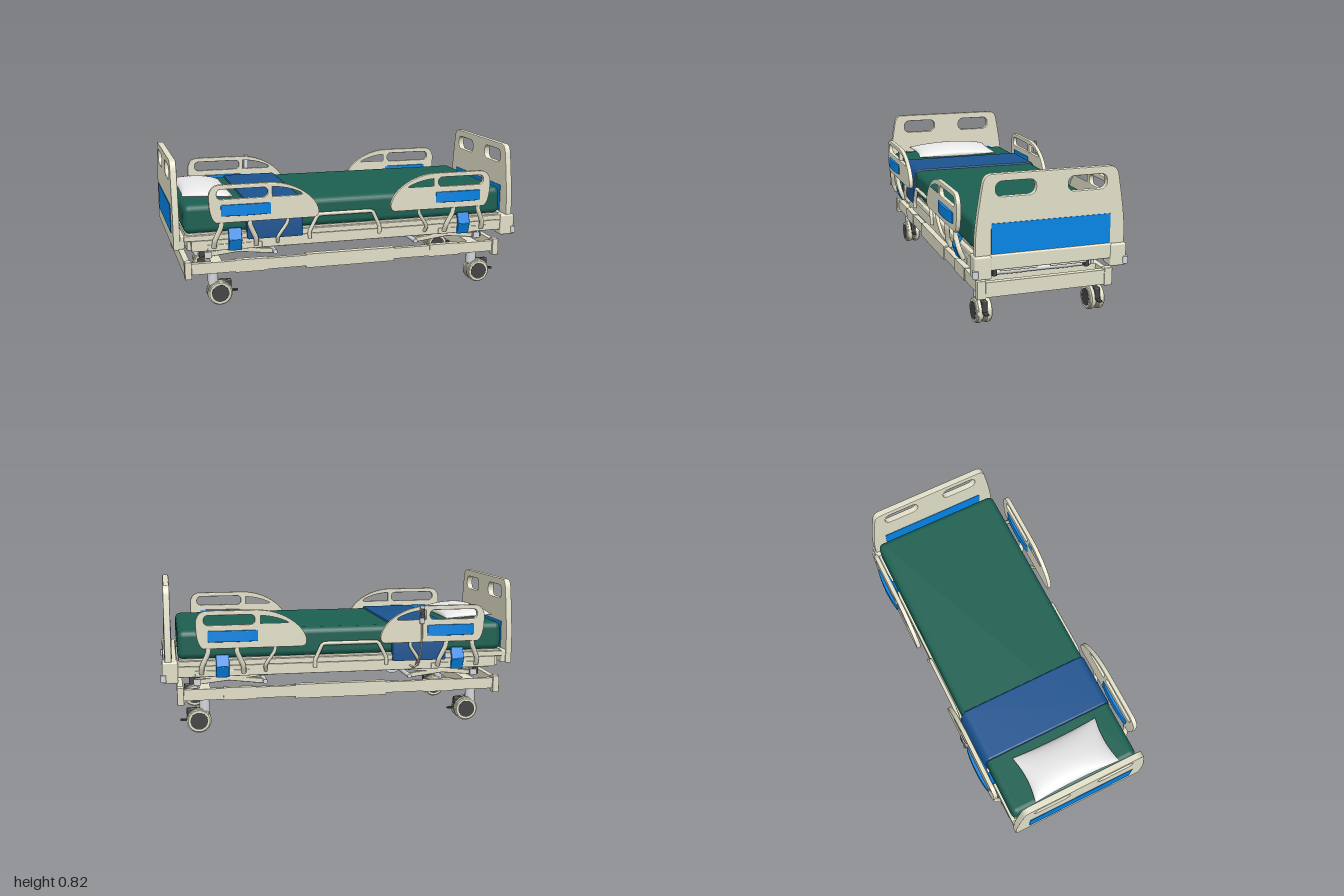
import * as THREE from 'three';
import { toCreasedNormals, mergeVertices } from 'three/addons/utils/BufferGeometryUtils.js';
import { RoundedBoxGeometry } from 'three/addons/geometries/RoundedBoxGeometry.js';

const mat = (name, color) => {
  const m = new THREE.MeshStandardMaterial({ color });
  m.name = name;
  return m;
};
const V = (x, y, z) => new THREE.Vector3(x, y, z);

export function createModel() {
  const root = new THREE.Group();
  root.name = 'adjustableBed';
  const cream = mat('cream', 0xe2e0c9), blue = mat('brightBlue', 0x0488ec), navy = mat('navy', 0x1b5390);
  const green = mat('green', 0x1c6052), white = mat('white', 0xe8e8e8), metal = mat('lightMetal', 0xd4d7dc);
  const dark = mat('darkGrey', 0x444444);

  // helpers
  const add = (name, geo, m, parent = root) => {
    const mesh = new THREE.Mesh(geo, m);
    mesh.name = name;
    parent.add(mesh);
    return mesh;
  };
  // box given by its bounds
  const box = (name, m, x0, x1, y0, y1, z0, z1, r = 0, parent = root) => {
    const s = [x1 - x0, y1 - y0, z1 - z0];
    const g = r ? new RoundedBoxGeometry(...s, 3, r) : new THREE.BoxGeometry(...s);
    g.translate((x0 + x1) / 2, (y0 + y1) / 2, (z0 + z1) / 2);
    return add(name, g, m, parent);
  };
  const rod = (name, m, a, b, r, parent = root) => {
    const d = b.clone().sub(a);
    const mesh = add(name, new THREE.CylinderGeometry(r, r, d.length(), 24), m, parent);
    mesh.position.copy(a).add(b).multiplyScalar(0.5);
    mesh.quaternion.setFromUnitVectors(V(0, 1, 0), d.normalize());
    return mesh;
  };
  const tube = (name, m, pts, r, tension = 0.15, parent = root) =>
    add(name, new THREE.TubeGeometry(new THREE.CatmullRomCurve3(pts, false, 'catmullrom', tension), 40, r, 8), m, parent);
  const extrude = (shape, depth, bevel = 0) => toCreasedNormals(new THREE.ExtrudeGeometry(shape, {
    depth: depth - 2 * bevel, bevelEnabled: bevel > 0, bevelSize: bevel, bevelThickness: bevel,
    bevelOffset: -bevel, bevelSegments: 2, curveSegments: 12 }).translate(0, 0, bevel), 0.35);
  // rounded rectangle path
  const roundRect = (P, x0, x1, y0, y1, r) => {
    const p = new P();
    p.absarc(x1 - r, y1 - r, r, 0, Math.PI / 2);
    p.absarc(x0 + r, y1 - r, r, Math.PI / 2, Math.PI);
    p.absarc(x0 + r, y0 + r, r, Math.PI, Math.PI * 1.5);
    p.absarc(x1 - r, y0 + r, r, Math.PI * 1.5, Math.PI * 2);
    p.closePath();
    return p;
  };

  // head and foot boards with hand holes and a blue inset
  const endBoard = (name, x, low) => {
    const g = new THREE.Group();
    g.name = name;
    root.add(g);
    const s = new THREE.Shape();
    s.moveTo(-0.4, low);
    s.lineTo(0.4, low);
    s.lineTo(0.4, 0.48);
    s.quadraticCurveTo(0.396, 0.58, 0.36, 0.775);
    s.quadraticCurveTo(0.35, 0.82, 0.31, 0.82);
    s.lineTo(-0.31, 0.82);
    s.quadraticCurveTo(-0.35, 0.82, -0.36, 0.775);
    s.quadraticCurveTo(-0.396, 0.58, -0.4, 0.48);
    s.closePath();
    for (const k of [-1, 1]) s.holes.push(roundRect(THREE.Path, k * 0.19 - 0.105, k * 0.19 + 0.105, 0.705, 0.782, 0.034));
    add('board', extrude(s, 0.036, 0.005).rotateY(Math.PI / 2).translate(x, 0, 0), cream, g);
    box('inset', blue, x - 0.003, x + 0.039, 0.42, 0.575, -0.318, 0.318, 0, g);
    return g;
  };
  const head = endBoard('headboard', -0.995, 0.345);
  box('headSill', cream, -0.99, -0.935, 0.345, 0.42, -0.395, 0.395, 0.008, head);
  const foot = endBoard('footboard', 0.938, 0.345);
  box('footSill', cream, 0.91, 0.985, 0.338, 0.418, -0.33, 0.33, 0.008, foot);
  for (const k of [-1, 1]) {
    const z = k * 0.363;
    box('cornerBlock', cream, 0.905, 0.99, 0.295, 0.415, z - 0.045, z + 0.045, 0.01, foot);
    rod('bumperRoller', metal, V(0.984, 0.307, k * 0.403), V(0.984, 0.345, k * 0.403), 0.016, foot);
  }

  // mattress, blanket and pillow
  box('mattress', green, -0.935, 0.905, 0.42, 0.58, -0.386, 0.386, 0.035);
  const u = new THREE.Shape();
  u.moveTo(-0.405, 0.378);
  u.lineTo(-0.405, 0.42);
  u.bezierCurveTo(-0.4, 0.545, -0.395, 0.592, -0.35, 0.592);
  u.lineTo(0.35, 0.592);
  u.bezierCurveTo(0.395, 0.592, 0.4, 0.545, 0.405, 0.42);
  u.lineTo(0.405, 0.378);
  u.lineTo(0.375, 0.378);
  u.lineTo(0.36, 0.55);
  u.lineTo(-0.36, 0.55);
  u.lineTo(-0.375, 0.378);
  u.closePath();
  add('blanket', extrude(u, 0.315, 0.011).rotateY(Math.PI / 2).translate(-0.6, 0, 0), navy);

  // pillow: a sphere spread to a pinched square with a puffed height
  const ball = new THREE.SphereGeometry(1, 48, 32);
  ball.deleteAttribute('uv');
  ball.deleteAttribute('normal');
  const pg = mergeVertices(ball, 1e-4);
  const pp = pg.attributes.position;
  const pinch = (a) => 1 - 0.07 * (1 - a * a);
  for (let i = 0; i < pp.count; i++) {
    const x = pp.getX(i), z = pp.getZ(i), side = Math.sign(Math.round(pp.getY(i) * 1e4));
    const k = Math.hypot(x, z) / Math.max(Math.abs(x), Math.abs(z), 1e-6);
    const a = x * k, b = z * k;
    const h = Math.pow(Math.max(0, (1 - a * a) * (1 - b * b)), 0.45);
    pp.setXYZ(i, a * 0.14 * pinch(b), side * h * (side > 0 ? 0.052 : 0.025), b * 0.262 * pinch(a));
  }
  pg.computeVertexNormals();
  const pillow = add('pillow', pg, white);
  pillow.position.set(-0.787, 0.598, 0.01);
  pillow.rotation.z = -0.06;

  // mattress deck and its frame
  box('deck', cream, -0.93, 0.9, 0.392, 0.425, -0.375, 0.375);
  for (const k of [-1, 1]) {
    const z = k * 0.377;
    box('deckRail', cream, -0.9, 0.91, 0.325, 0.385, z - 0.017, z + 0.017, 0.004);
    box('deckLip', cream, -0.94, 0.91, 0.385, 0.415, z - 0.02, z + 0.02, 0.004);
    box('footApron', cream, 0.84, 0.88, 0.292, 0.345, k * 0.137 - 0.102, k * 0.137 + 0.102, 0.006);
  }
  box('apronBridge', cream, 0.845, 0.875, 0.313, 0.345, -0.05, 0.05);
  for (const x of [-0.9, -0.42, 0.42, 0.87]) box('deckCrossbar', cream, x - 0.02, x + 0.02, 0.33, 0.392, -0.37, 0.37);

  // motor housing with round ends below the back section
  const tray = new THREE.Shape();
  tray.moveTo(-0.47, 0.392);
  tray.lineTo(-0.383, 0.3);
  tray.absarc(-0.335, 0.322, 0.053, Math.PI * 1.15, Math.PI * 1.85);
  tray.lineTo(-0.25, 0.392);
  tray.closePath();
  add('motorHousing', extrude(tray, 0.36).translate(0, 0, -0.18), cream);
  rod('motorCap', metal, V(-0.335, 0.32, -0.21), V(-0.335, 0.32, 0.21), 0.05);

  // telescoping base frame
  for (const k of [-1, 1]) {
    const z = k * 0.345;
    box('baseRail', cream, -0.9, 0.88, 0.188, 0.25, z - 0.015, z + 0.015);
    box('baseSleeve', cream, -0.26, 0.26, 0.178, 0.257, z - 0.02, z + 0.02);
    for (const x of [-0.57, 0.57]) box('baseCollar', cream, x - 0.09, x + 0.09, 0.184, 0.254, z - 0.018, z + 0.018);
  }
  for (const x of [-0.918, 0.895]) {
    box('baseCrossbeam', cream, x - 0.016, x + 0.016, 0.173, 0.252, -0.33, 0.33);
    for (const k of [-1, 1]) box('basePlate', cream, x - 0.019, x + 0.019, 0.165, 0.263, k * 0.348 - 0.023, k * 0.348 + 0.023, 0.004);
  }
  for (const x of [-0.76, 0.76]) box('casterBeam', cream, x - 0.03, x + 0.03, 0.185, 0.25, -0.34, 0.34);

  // lifting linkage at both ends
  for (const e of [-1, 1]) {
    for (const k of [-1, 1]) {
      const z = k * 0.255;
      const link = (a, b) => {
        const dx = b[0] - a[0], dy = b[1] - a[1];
        const arm = add('liftArm', new RoundedBoxGeometry(Math.hypot(dx, dy), 0.026, 0.024, 2, 0.005), cream);
        arm.position.set(e * (a[0] + b[0]) / 2, (a[1] + b[1]) / 2, z);
        arm.rotation.z = e * Math.atan2(dy, dx);
      };
      link([0.42, 0.262], [0.86, 0.315]);
      link([0.4, 0.31], [0.8, 0.268]);
      box('liftBracket', dark, e * 0.83 - 0.015, e * 0.83 + 0.015, 0.258, 0.33, z - 0.011, z + 0.011);
      box('liftFoot', cream, e * 0.76 - 0.05, e * 0.76 + 0.05, 0.25, 0.282, k * 0.145 - 0.05, k * 0.145 + 0.05, 0.005);
      box('liftTab', metal, e * 0.8 - 0.02, e * 0.8 + 0.02, 0.26, 0.295, k * 0.298 - 0.008, k * 0.298 + 0.008);
    }
    for (const x of [0.42, 0.8]) rod('liftShaft', metal, V(e * x, 0.264, -0.29), V(e * x, 0.264, 0.29), 0.013);
    rod('middleShaft', metal, V(e * 0.61, 0.288, -0.25), V(e * 0.61, 0.288, 0.25), 0.014);
    rod('actuator', metal, V(e * 0.38, 0.285, 0.09), V(e * 0.78, 0.268, 0.09), 0.016);
  }

  // twin-wheel casters
  for (const x of [-0.745, 0.797]) for (const k of [-1, 1]) {
    const c = new THREE.Group();
    c.name = 'caster';
    c.position.set(x, 0.07, k * 0.315);
    root.add(c);
    for (const s of [-1, 1]) {
      const w = [[0, -0.02], [0.06, -0.02], [0.064, -0.016], [0.064, -0.009], [0.068, -0.008], [0.068, 0.008], [0.064, 0.009], [0.064, 0.016], [0.06, 0.02], [0, 0.02]];
      const tyre = new THREE.LatheGeometry(w.map((p) => new THREE.Vector2(...p)), 32).rotateX(Math.PI / 2);
      add('wheel', toCreasedNormals(tyre, 0.5), cream, c).position.z = s * 0.023;
      rod('hub', dark, V(0, 0, s * 0.03), V(0, 0, s * 0.0445), 0.048, c);
    }
    box('fork', dark, -0.05, 0.066, 0, 0.068, -0.015, 0.015, 0.006, c);
    rod('stem', metal, V(-0.034, 0.045, 0), V(-0.034, 0.12, 0), 0.029, c);
    box('brakePedal', dark, 0.05, 0.102, -0.002, 0.006, -0.012, 0.012, 0, c);
  }

  // side guards: e = end of the bed, k = side of the bed
  const guard = (e, k) => {
    const g = new THREE.Group();
    g.name = 'sideGuard';
    root.add(g);
    const s = new THREE.Shape();
    s.moveTo(e * 0.77, 0.487);
    s.lineTo(e * 0.24, 0.487);
    s.quadraticCurveTo(e * 0.205, 0.487, e * 0.207, 0.525);
    s.bezierCurveTo(e * 0.215, 0.6, e * 0.34, 0.693, e * 0.48, 0.693);
    s.lineTo(e * 0.745, 0.693);
    s.quadraticCurveTo(e * 0.795, 0.693, e * 0.808, 0.64);
    s.quadraticCurveTo(e * 0.812, 0.51, e * 0.77, 0.487);
    s.holes.push(roundRect(THREE.Path, ...(e > 0 ? [0.49, 0.765] : [-0.765, -0.49]), 0.615, 0.668, 0.024));
    const h = new THREE.Path();
    h.moveTo(e * 0.465, 0.615);
    h.lineTo(e * 0.31, 0.615);
    h.quadraticCurveTo(e * 0.295, 0.617, e * 0.31, 0.63);
    h.quadraticCurveTo(e * 0.38, 0.665, e * 0.465, 0.668);
    h.closePath();
    s.holes.push(h);
    add('panel', extrude(s, 0.026, 0.005).translate(0, 0, k * 0.433 - 0.013), cream, g);
    // blue grip bulging through the panel
    const q = new THREE.Shape();
    q.moveTo(-0.135, -0.016);
    q.bezierCurveTo(-0.09, -0.034, 0.09, -0.034, 0.135, -0.016);
    q.lineTo(0.135, 0.016);
    q.bezierCurveTo(0.09, 0.034, -0.09, 0.034, -0.135, 0.016);
    q.closePath();
    add('grip', extrude(q, 0.06, 0.004).rotateX(-Math.PI / 2).translate(e * 0.61, 0.525, k * 0.434), blue, g);
    // swing arms, two-part latch and pivot bar
    for (const o of [-1, 1]) {
      const x = e * 0.665 + o * 0.075;
      tube('swingArm', cream, [V(x, 0.51, k * 0.43), V(x + o * 0.005, 0.46, k * 0.432), V(x + o * 0.035, 0.39, k * 0.42), V(x + o * 0.04, 0.345, k * 0.4)], 0.014, 0.4, g);
    }
    tube('innerArm', cream, [V(e * 0.38, 0.495, k * 0.43), V(e * 0.385, 0.46, k * 0.43), V(e * 0.43, 0.39, k * 0.42), V(e * 0.43, 0.35, k * 0.395)], 0.01, 0.4, g);
    const lx = e * 0.665;
    for (const [y, tilt] of [[0.412, -0.35], [0.354, 0.35]]) {
      const latch = box('latch', blue, -0.036, 0.036, -0.034, 0.034, -0.009, 0.009, 0.004, g);
      latch.position.set(lx, y, k * 0.402);
      latch.rotation.x = k * tilt;
    }
    box('pivotBar', cream, lx - 0.15, lx + 0.15, 0.325, 0.36, k * 0.387 - 0.01, k * 0.387 + 0.01, 0.004, g);
  };
  for (const e of [-1, 1]) for (const k of [-1, 1]) guard(e, k);

  // middle hand bars
  for (const k of [-1, 1]) {
    const z = k * 0.403;
    tube('handBar', cream, [V(-0.25, 0.36, z), V(-0.25, 0.4, z), V(-0.205, 0.487, z), V(-0.18, 0.492, z), V(0.09, 0.492, z), V(0.115, 0.487, z), V(0.155, 0.4, z), V(0.155, 0.36, z)], 0.011);
  }

  // hand control hooked on the guard, with its cable
  const control = box('handControl', metal, -0.014, 0.014, -0.052, 0.052, -0.005, 0.005, 0.004);
  control.position.set(-0.44, 0.645, -0.455);
  control.rotation.x = -0.08;
  box('controlFace', dark, -0.451, -0.429, 0.625, 0.68, -0.464, -0.459);
  tube('controlCable', cream, [V(-0.44, 0.6, -0.454), V(-0.44, 0.48, -0.452), V(-0.43, 0.4, -0.445), V(-0.41, 0.345, -0.425), V(-0.39, 0.35, -0.39)], 0.005, 0.5);

  return root;
}
